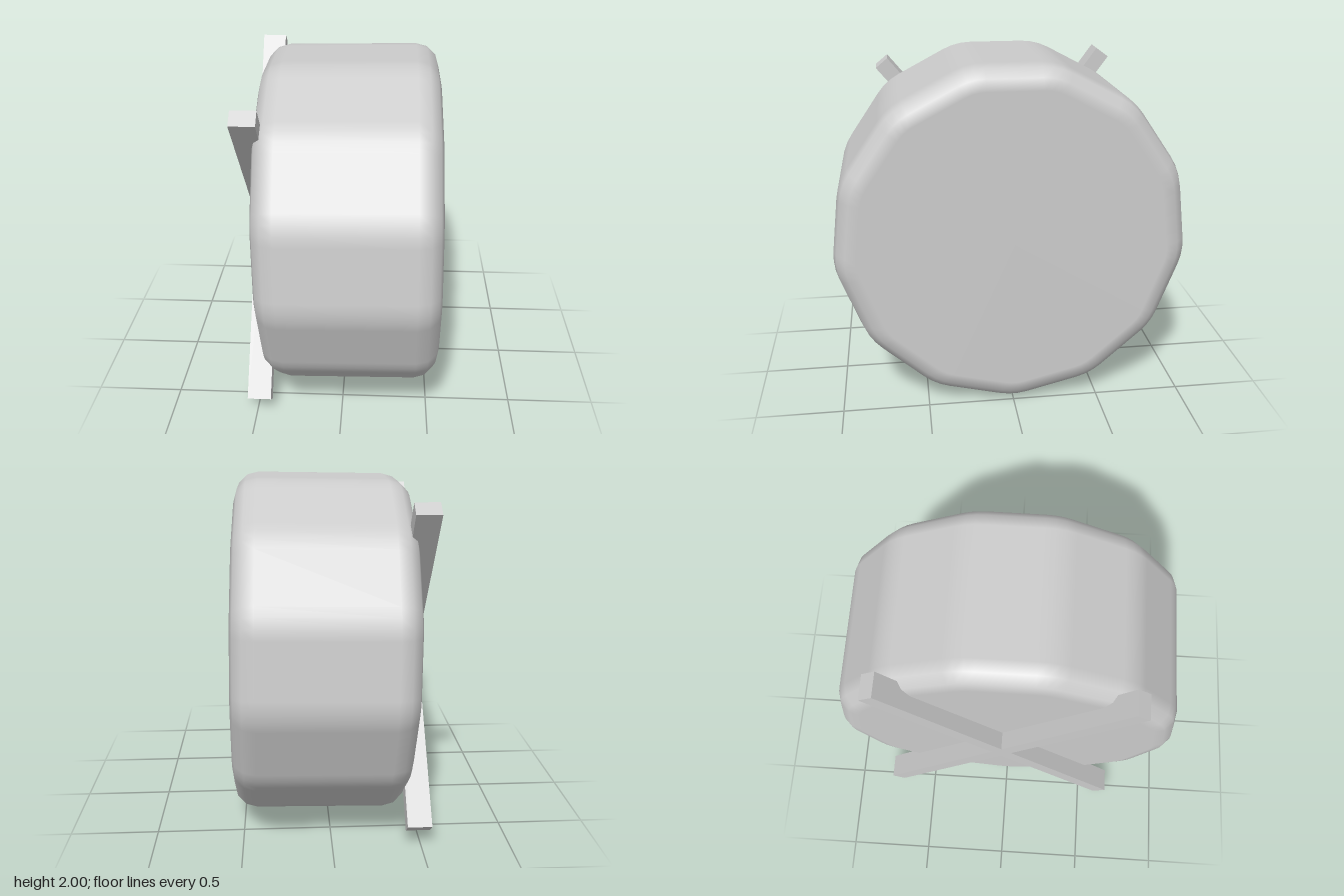
import * as THREE from 'three';

const SIDES = 13, RADIUS = 1.013, HALF = 0.495, BEVEL = 0.13, CORNER = 0.36;
const CORNER_STEPS = 3, BEVEL_STEPS = 3;

// Thirteen-sided drum along x, with rounded corners and rounded rims.
function drumGeometry() {
  const step = (2 * Math.PI) / SIDES;
  const inner = RADIUS - CORNER / Math.cos(step / 2); // centres of the corner arcs
  const outline = [];
  for (let s = 0; s < SIDES; s++) {
    for (let k = 0; k <= CORNER_STEPS; k++) {
      outline.push({ centre: s * step, normal: s * step + step * (k / CORNER_STEPS - 0.5) });
    }
  }

  // Rings from one cap centre, round both rims, to the other cap centre
  const rings = [];
  for (const end of [-1, 1]) {
    const part = [{ x: end * HALF, inset: 0, scale: 0, tilt: Math.PI / 2, end }];
    for (let i = 0; i <= BEVEL_STEPS; i++) {
      const t = (Math.PI / 2) * (1 - i / BEVEL_STEPS);
      part.push({
        x: end * (HALF - BEVEL + BEVEL * Math.sin(t)),
        inset: BEVEL * (1 - Math.cos(t)), scale: 1, tilt: t, end,
      });
    }
    rings.push(...(end < 0 ? part : part.reverse()));
  }

  const positions = [], normals = [], index = [], n = outline.length;
  for (const r of rings) {
    for (const { centre, normal } of outline) {
      const d = CORNER - r.inset;
      positions.push(
        r.x,
        -r.scale * (inner * Math.cos(centre) + d * Math.cos(normal)),
        r.scale * (inner * Math.sin(centre) + d * Math.sin(normal)));
      const c = Math.cos(r.tilt);
      normals.push(r.end * Math.sin(r.tilt), -c * Math.cos(normal), c * Math.sin(normal));
    }
  }
  for (let i = 0; i < rings.length - 1; i++) {
    for (let j = 0; j < n; j++) {
      const a = i * n + j, b = i * n + (j + 1) % n, c = a + n, d = b + n;
      if (rings[i].scale > 0) index.push(a, c, b);
      else index.push(a, c, d);
      if (rings[i].scale > 0 && rings[i + 1].scale > 0) index.push(b, c, d);
    }
  }
  const geometry = new THREE.BufferGeometry();
  geometry.setAttribute('position', new THREE.Float32BufferAttribute(positions, 3));
  geometry.setAttribute('normal', new THREE.Float32BufferAttribute(normals, 3));
  geometry.setIndex(index);
  return geometry;
}

export function createModel() {
  const group = new THREE.Group();
  const material = new THREE.MeshStandardMaterial({ color: 0xcccccc });

  // Drum, leaning very slightly
  const drum = new THREE.Mesh(drumGeometry(), material);
  drum.name = 'drum';
  drum.position.set(0.042, 1.009, 0);
  drum.rotation.z = 0.018;
  group.add(drum);

  // Crossed bars on the -x cap, each given by its end points in z and y
  const addBar = (name, z0, y0, z1, y1) => {
    const length = Math.hypot(z1 - z0, y1 - y0);
    const bar = new THREE.Mesh(new THREE.BoxGeometry(0.137, length, 0.092), material);
    bar.name = name;
    bar.position.set(-0.485, (y0 + y1) / 2, (z0 + z1) / 2);
    bar.rotation.x = Math.atan2(z1 - z0, y1 - y0);
    group.add(bar);
  };
  addBar('crossBarForward', -0.738, 0.11, 0.692, 1.855);
  addBar('crossBarBackward', 0.642, 0.07, -0.684, 1.89);

  return group;
}
